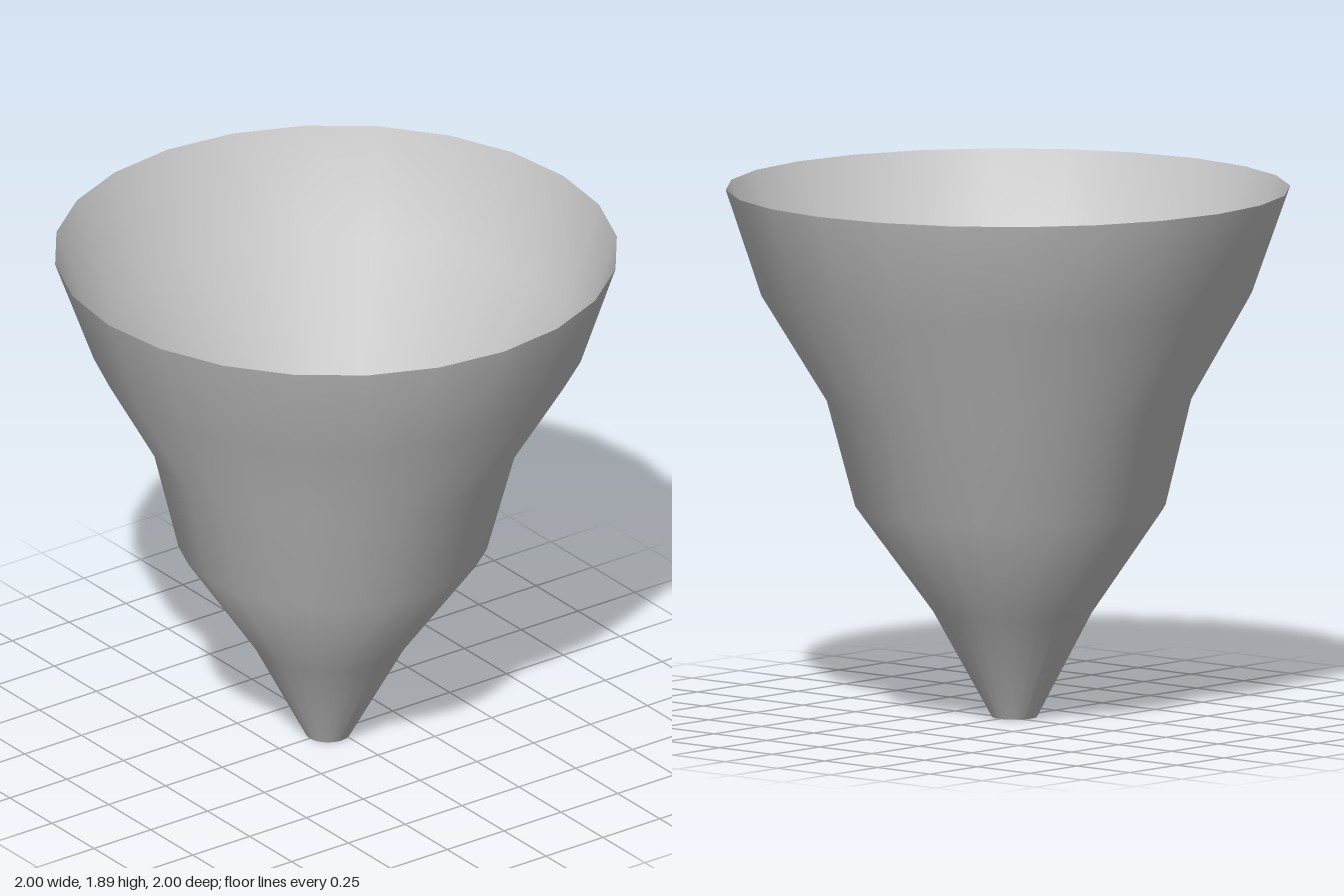
import * as THREE from 'three';
import { mergeVertices } from 'three/addons/utils/BufferGeometryUtils.js';

// Rings from bottom to top: [radius, sideways offset in x]
const RINGS = [
  [0.08, -0.035],
  [0.283, -0.027],
  [0.55, -0.013],
  [0.646, -0.006],
  [0.869, 0.007],
  [1, 0],
];
const HEIGHT = 1.893;
const SIDES = 24;

export function createModel() {
  const group = new THREE.Group();
  group.name = 'funnel';

  // Open tube whose rings are scaled and shifted to follow the profile
  const steps = RINGS.length - 1;
  let geometry = new THREE.CylinderGeometry(1, 1, HEIGHT, SIDES, steps, true);
  geometry.translate(0, HEIGHT / 2, 0);
  const pos = geometry.attributes.position;
  for (let i = 0; i < pos.count; i++) {
    const [radius, offset] = RINGS[Math.round((pos.getY(i) / HEIGHT) * steps)];
    pos.setX(i, pos.getX(i) * radius + offset);
    pos.setZ(i, pos.getZ(i) * radius);
  }

  // Weld the seam so the wall shades smoothly all round
  geometry.deleteAttribute('normal');
  geometry.deleteAttribute('uv');
  geometry = mergeVertices(geometry, 1e-4);
  geometry.computeVertexNormals();

  const material = new THREE.MeshStandardMaterial({ color: 0xcccccc, side: THREE.DoubleSide });
  const wall = new THREE.Mesh(geometry, material);
  wall.name = 'funnelWall';
  group.add(wall);
  return group;
}
